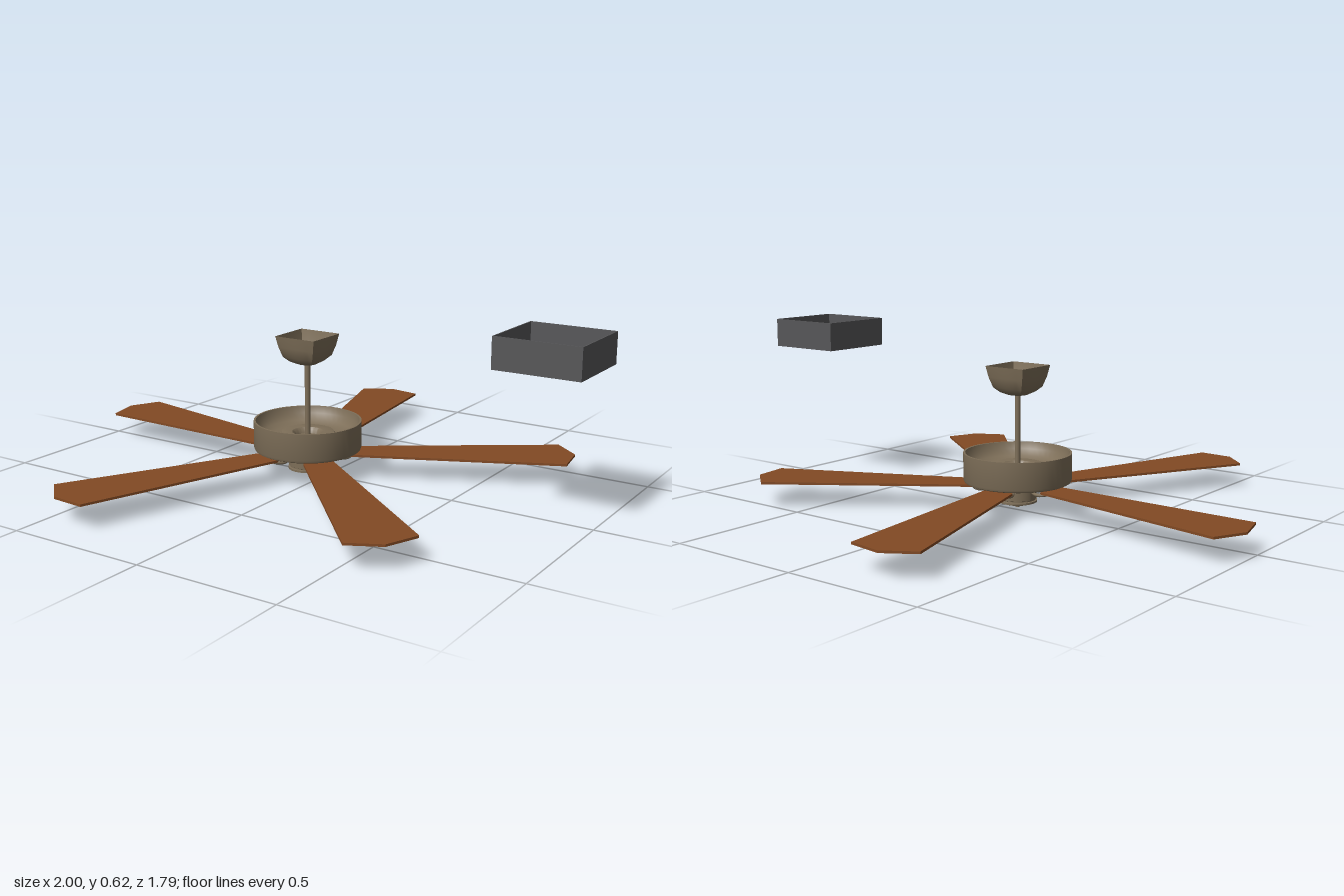
import * as THREE from 'three';
import { toCreasedNormals } from 'three/addons/utils/BufferGeometryUtils.js';

const mat = (name, color, side = THREE.FrontSide) => {
  const m = new THREE.MeshStandardMaterial({ color, side });
  m.name = name;
  return m;
};

export function createModel() {
  const bronze = mat('bronze', 0x7d6e58, THREE.DoubleSide);
  const wood = mat('wood', 0x824a24);
  const darkGrey = mat('darkGrey', 0x565658);
  const glass = mat('paleGlass', 0xd0d0d0);

  const root = new THREE.Group();
  root.name = 'ceilingFan';
  const fan = new THREE.Group();
  fan.name = 'fan';
  fan.position.set(-0.064, 0, 0.026);
  root.add(fan);

  const add = (parent, name, geo, material, x = 0, y = 0, z = 0) => {
    const m = new THREE.Mesh(geo, material);
    m.name = name;
    m.position.set(x, y, z);
    parent.add(m);
    return m;
  };
  const lathe = (points) => toCreasedNormals(
    new THREE.LatheGeometry(points.map(p => new THREE.Vector2(...p)), 48), 0.6);

  // Motor drum with a dished top and a raised inner collar
  add(fan, 'motorHousing', lathe([
    [0, 0.094], [0.18, 0.094], [0.188, 0.098], [0.191, 0.106], [0.191, 0.2], [0.184, 0.2],
    [0.178, 0.175], [0.16, 0.153], [0.13, 0.143], [0.098, 0.142], [0.094, 0.156],
    [0.085, 0.159], [0.055, 0.157], [0.048, 0.15], [0.043, 0.137], [0, 0.135]]), bronze);

  // Switch cup below the motor, with end cap and nub
  add(fan, 'switchCup', lathe([
    [0.06, 0.096], [0.067, 0.09], [0.067, 0.036], [0.063, 0.034], [0.063, 0.031],
    [0.069, 0.03], [0.069, 0.023], [0.05, 0.017], [0.02, 0.012], [0.008, 0.011],
    [0.007, 0.002], [0, 0]]), bronze);

  add(fan, 'downrod', new THREE.CylinderGeometry(0.01, 0.01, 0.28, 20), bronze, 0, 0.275, 0);

  // Canopy: hollow loft from a square mouth to a round foot
  const rows = [[0.505, 0.08, 0], [0.465, 0.074, 0.08], [0.43, 0.065, 0.2],
    [0.413, 0.05, 0.4], [0.404, 0.034, 0.7], [0.4, 0.012, 1]];
  const seg = 32, pos = [], idx = [];
  rows.forEach(([y, half, round], r) => {
    for (let i = 0; i < seg; i++) {
      const a = i / seg * Math.PI * 2, c = Math.cos(a), s = Math.sin(a);
      const square = 1 / Math.max(Math.abs(c), Math.abs(s));
      const k = half * (square * (1 - round) + round);
      pos.push(k * c, y, k * s);
      if (r) {
        const j = (i + 1) % seg, p = (r - 1) * seg, q = r * seg;
        idx.push(p + i, p + j, q + i, p + j, q + j, q + i);
      }
    }
  });
  const loft = new THREE.BufferGeometry();
  loft.setAttribute('position', new THREE.Float32BufferAttribute(pos, 3));
  loft.setIndex(idx);
  add(fan, 'canopy', toCreasedNormals(loft, 0.7), bronze);

  // Blade outline: tapered plank with a pointed tip
  const outline = new THREE.Shape([
    [0.145, -0.042], [0.155, -0.053], [0.898, -0.1155], [0.941, 0], [0.898, 0.1155],
    [0.155, 0.053], [0.145, 0.042]].map(p => new THREE.Vector2(...p)));
  const bladeGeo = new THREE.ExtrudeGeometry(outline, { depth: 0.008, bevelEnabled: false });
  bladeGeo.rotateX(-Math.PI / 2);

  // Curled bracket arm, mirrored for each side of a blade
  const armGeo = (side) => new THREE.TubeGeometry(new THREE.CatmullRomCurve3([
    [0.066, 0.092, 0.008], [0.09, 0.076, 0.024], [0.12, 0.07, 0.034],
    [0.148, 0.073, 0.026], [0.158, 0.077, 0.004]
  ].map(([x, y, z]) => new THREE.Vector3(x, y, z * side))), 18, 0.006, 8);
  const arms = [armGeo(1), armGeo(-1)];
  const plateGeo = new THREE.CylinderGeometry(0.03, 0.024, 0.007, 24);
  const hubArmGeo = new THREE.BoxGeometry(0.07, 0.01, 0.022);

  for (let i = 0; i < 5; i++) {
    const arm = new THREE.Group();
    arm.name = 'bladeAssembly';
    arm.rotation.y = (173.9 + i * 72) * Math.PI / 180;
    fan.add(arm);
    add(arm, 'blade', bladeGeo, wood, 0, 0.081, 0);
    arms.forEach(g => add(arm, 'bracketArm', g, bronze));
    add(arm, 'bracketPlate', plateGeo, bronze, 0.145, 0.0775, 0);
    add(arm, 'bracketRoot', hubArmGeo, bronze, 0.095, 0.083, 0);
  }

  // Separate open-topped light box
  const box = new THREE.Group();
  box.name = 'lightBox';
  box.position.set(0.854, 0.51, 0.026);
  root.add(box);
  const W = 0.292, D = 0.28, H = 0.105, t = 0.004;
  for (const s of [-1, 1]) {
    add(box, 'boxSide', new THREE.BoxGeometry(t, H, D), darkGrey, s * (W - t) / 2, H / 2, 0);
    add(box, 'boxEnd', new THREE.BoxGeometry(W - 2 * t, H, t), darkGrey, 0, H / 2, s * (D - t) / 2);
  }

  // Rounded-square lens, slightly bulging sides, set in the floor frame
  const lensPoints = [];
  for (let i = 0; i < 48; i++) {
    const a = i / 48 * Math.PI * 2, c = Math.cos(a), s = Math.sin(a);
    const k = Math.pow(Math.abs(c) ** 6 + Math.abs(s) ** 6, -1 / 6);
    lensPoints.push(new THREE.Vector2(0.118 * k * c, 0.113 * k * s));
  }
  const floor = new THREE.Shape([[-1, -1], [1, -1], [1, 1], [-1, 1]]
    .map(([x, y]) => new THREE.Vector2(x * (W / 2 - t), y * (D / 2 - t))));
  floor.holes.push(new THREE.Path(lensPoints));
  const slab = (shape) => new THREE.ExtrudeGeometry(shape, { depth: t, bevelEnabled: false })
    .rotateX(-Math.PI / 2);
  add(box, 'boxFloor', slab(floor), darkGrey);
  add(box, 'lens', slab(new THREE.Shape(lensPoints)), glass);

  return root;
}
